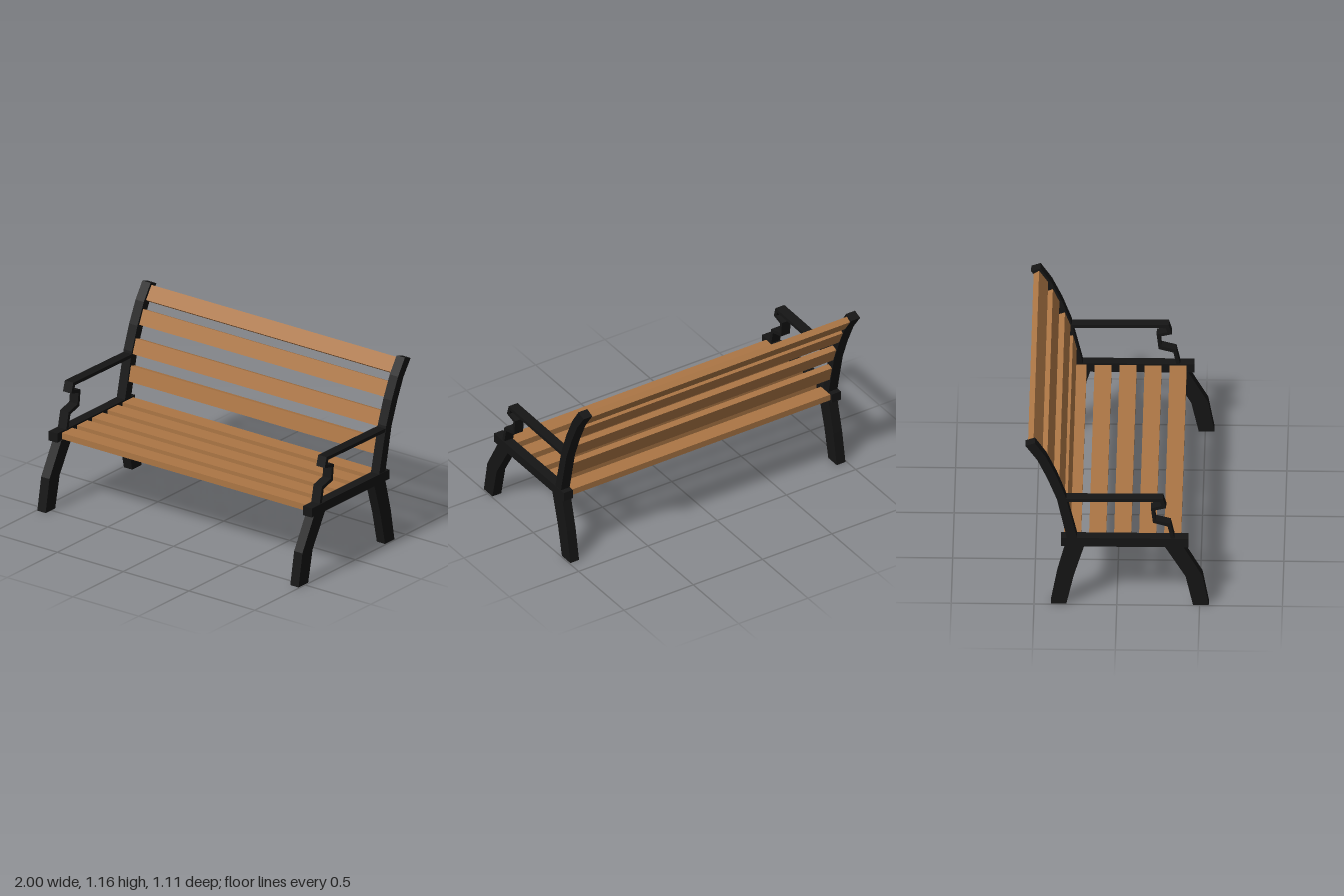
import * as THREE from 'three';

const iron = new THREE.MeshStandardMaterial({ color: 0x151515 });
const wood = new THREE.MeshStandardMaterial({ color: 0xac7645 });

// Side profiles as [z, y] outlines, each with its inner and outer x
const PROFILES = {
  frontLeg: { x: [0.93, 0.993], pts: [[0.555, 0], [0.46, 0], [0.415, 0.205], [0.285, 0.425], [0.397, 0.425], [0.517, 0.21]] },
  backLeg: { x: [0.93, 0.993], pts: [[-0.305, 0], [-0.398, 0], [-0.36, 0.21], [-0.305, 0.425], [-0.195, 0.425], [-0.26, 0.205]] },
  seatRail: { x: [0.935, 1], pts: [[0.433, 0.418], [0.433, 0.478], [-0.337, 0.478], [-0.337, 0.418]] },
  backPost: {
    x: [0.935, 0.998],
    pts: [[-0.238, 0.47], [-0.309, 0.77], [-0.364, 0.92], [-0.427, 1.055], [-0.495, 1.157],
      [-0.552, 1.137], [-0.48, 1.035], [-0.42, 0.905], [-0.362, 0.755], [-0.3, 0.47]],
  },
  armrest: {
    x: [0.931, 0.995],
    pts: [[0.35, 0.47], [0.325, 0.583], [0.236, 0.607], [0.227, 0.678], [0.298, 0.696], [0.279, 0.761], [-0.318, 0.755],
      [-0.313, 0.733], [0.261, 0.739], [0.27, 0.711], [0.206, 0.693], [0.218, 0.589], [0.307, 0.564], [0.328, 0.47]],
  },
};

// Extrude a side outline across x between x0 and x1
function sidePart(name, pts, x0, x1) {
  const shape = new THREE.Shape(pts.map(([z, y]) => new THREE.Vector2(z, y)));
  const geo = new THREE.ExtrudeGeometry(shape, { depth: x1 - x0, bevelEnabled: false });
  geo.rotateY(-Math.PI / 2).translate(x1, 0, 0);
  const mesh = new THREE.Mesh(geo, iron);
  mesh.name = name;
  return mesh;
}

function slat(name, height, depth, y, z, tilt = 0) {
  const mesh = new THREE.Mesh(new THREE.BoxGeometry(1.88, height, depth), wood);
  mesh.name = name;
  mesh.position.set(0, y, z);
  mesh.rotation.x = -THREE.MathUtils.degToRad(tilt);
  return mesh;
}

export function createModel() {
  const bench = new THREE.Group();
  bench.name = 'bench';

  // Iron end frames
  for (const side of [1, -1]) {
    const frame = new THREE.Group();
    frame.name = side > 0 ? 'leftFrame' : 'rightFrame';
    for (const [name, { x, pts }] of Object.entries(PROFILES)) {
      const [x0, x1] = side > 0 ? x : [-x[1], -x[0]];
      frame.add(sidePart(name, pts, x0, x1));
    }
    bench.add(frame);
  }

  // Seat slats
  for (let i = 0; i < 5; i++) bench.add(slat('seatSlat', 0.04, 0.103, 0.448, 0.336 - i * 0.151));

  // Backrest slats: y, z, backward tilt in degrees
  const backSlats = [[0.628, -0.307, 13.5], [0.791, -0.35, 20], [0.958, -0.419, 24], [1.09, -0.493, 34]];
  for (const [y, z, tilt] of backSlats) bench.add(slat('backSlat', 0.098, 0.04, y, z, tilt));

  return bench;
}
